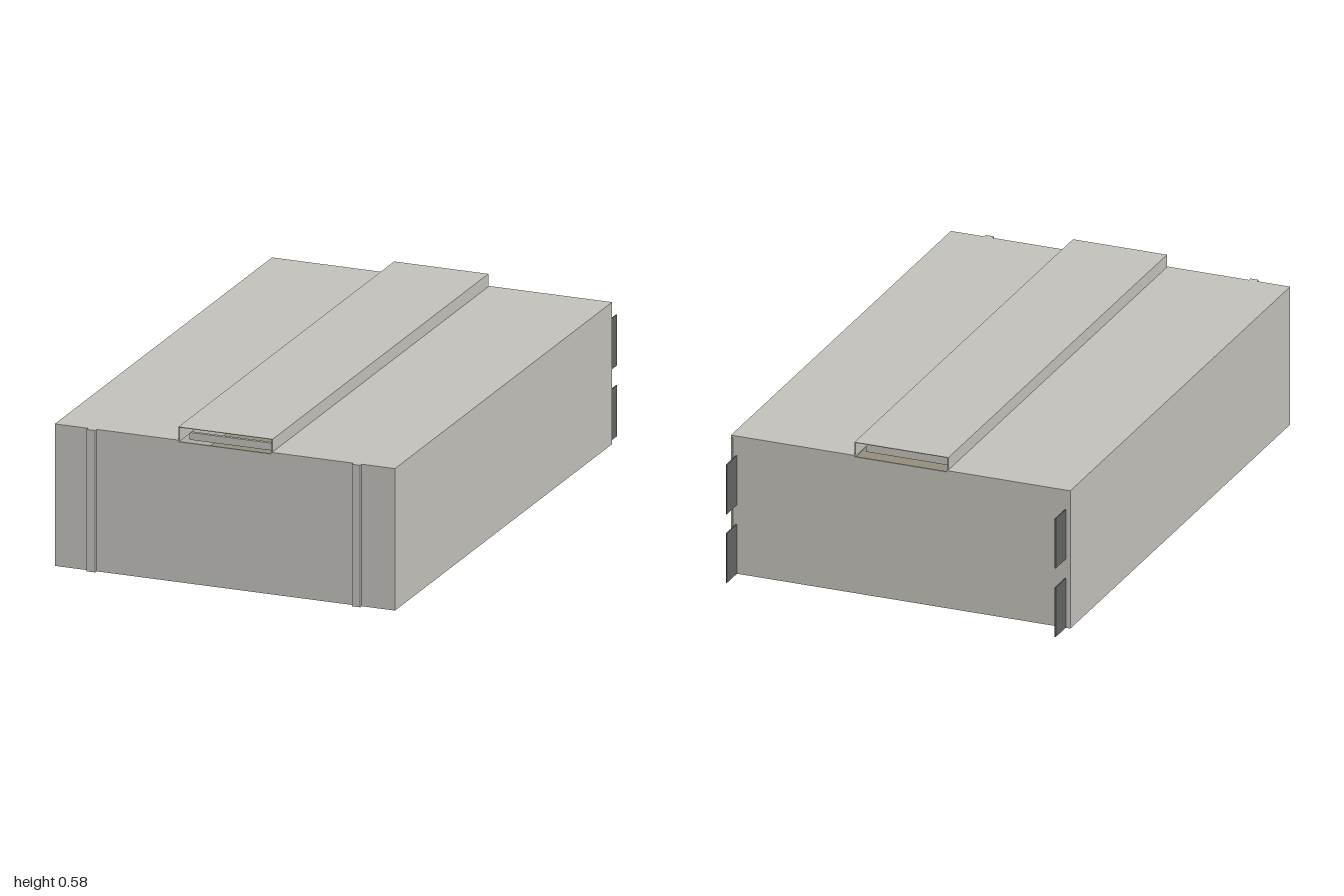
import * as THREE from 'three';

const mat = (name, color, side = THREE.FrontSide) =>
  new THREE.MeshStandardMaterial({ name, color, side });

export function createModel() {
  const group = new THREE.Group();
  const cladding = mat('pale grey cladding', 0xc4c2bc);
  const floorMat = mat('warm grey floor', 0x958e7e);
  const dark = mat('dark grey panel', 0x626662);

  // Box given by its limits on each axis
  function box(name, material, [x0, x1], [y0, y1], [z0, z1], parent = group) {
    const mesh = new THREE.Mesh(new THREE.BoxGeometry(x1 - x0, y1 - y0, z1 - z0), material);
    mesh.position.set((x0 + x1) / 2, (y0 + y1) / 2, (z0 + z1) / 2);
    mesh.name = name;
    parent.add(mesh);
    return mesh;
  }
  // Limits mirrored to side s
  const mirror = (s, a, b) => (s > 0 ? [a, b] : [-b, -a]);

  const W = 0.617, BASE = 0.03, EAVE = 0.532, BACK = -0.915, FRONT = 0.987;
  const RIDGE = 0.171, TOP = 0.577, T = 0.006;

  // Floor slab and end walls
  box('floor', floorMat, [-W + T, W - T], [BASE, BASE + 0.008], [BACK + T, FRONT - T]);
  box('frontWall', cladding, [-W + T, W - T], [BASE, EAVE - T], [FRONT - T, FRONT]);
  box('backWall', cladding, [-W + T, W - T], [BASE, EAVE - T], [BACK + 0.002, BACK + T + 0.002]);

  for (const s of [1, -1]) {
    const side = s > 0 ? 'left' : 'right';
    // Side wall, and roof half beside the open ridge slot
    box(side + 'Wall', cladding, mirror(s, W - T, W), [BASE, EAVE - T], [BACK, FRONT]);
    box(side + 'Roof', cladding, mirror(s, RIDGE - 0.004, W), [EAVE - T, EAVE], [BACK, FRONT]);
    // Upstand that carries the raised ridge cover
    box(side + 'RidgeWall', cladding, mirror(s, RIDGE - 0.004, RIDGE), [EAVE, TOP - 0.002], [-0.908, 0.982]);
    // Door post on the front
    box(side + 'DoorPost', cladding, mirror(s, 0.466, 0.496), [BASE, EAVE], [FRONT, 1]);
    // Upright plates behind the back wall
    for (const [y0, y1] of [[0.03, 0.21], [0.28, 0.46]]) {
      box(side + 'BackPlate', dark, mirror(s, 0.596, 0.6), [y0, y1], [-1, BACK + 0.004]);
    }
  }

  // Thin cover over the ridge, open at both ends
  box('ridgeCover', cladding, [-RIDGE, RIDGE], [TOP - 0.002, TOP], [-0.908, 0.982]);

  // Cross ribs under the ridge slot
  for (let i = 0; i < 9; i++) {
    const z = -0.8 + i * 0.21;
    box('roofRib', cladding, [-RIDGE, RIDGE], [EAVE - 0.03, EAVE - 0.004], [z - 0.006, z + 0.006]);
  }

  // Small fittings under the floor
  box('underPlate', dark, [-0.315, -0.25], [0.022, BASE], [-0.25, -0.242]);
  const patch = new THREE.Mesh(new THREE.CylinderGeometry(0.075, 0.075, 0.004, 16), cladding);
  patch.name = 'underPatch';
  patch.scale.z = 0.6;
  patch.position.set(-0.09, 0.03, 0.08);
  group.add(patch);
  for (const [x, z] of [[-0.5, 0.32], [-0.49, 0.64], [0.18, 0.42], [-0.23, 0.68]]) {
    box('underStud', dark, [x - 0.01, x + 0.01], [0.028, 0.032], [z - 0.005, z + 0.005]);
  }
  for (const [x, z, low] of [[-0.38, 0.06, 0.022], [-0.345, 0.07, 0.001], [-0.33, 0.09, 0.012]]) {
    const pin = box('underPin', dark, [x - 0.002, x + 0.002], [low, BASE], [z - 0.002, z + 0.002]);
    pin.rotation.z = -0.4;
  }
  return group;
}
